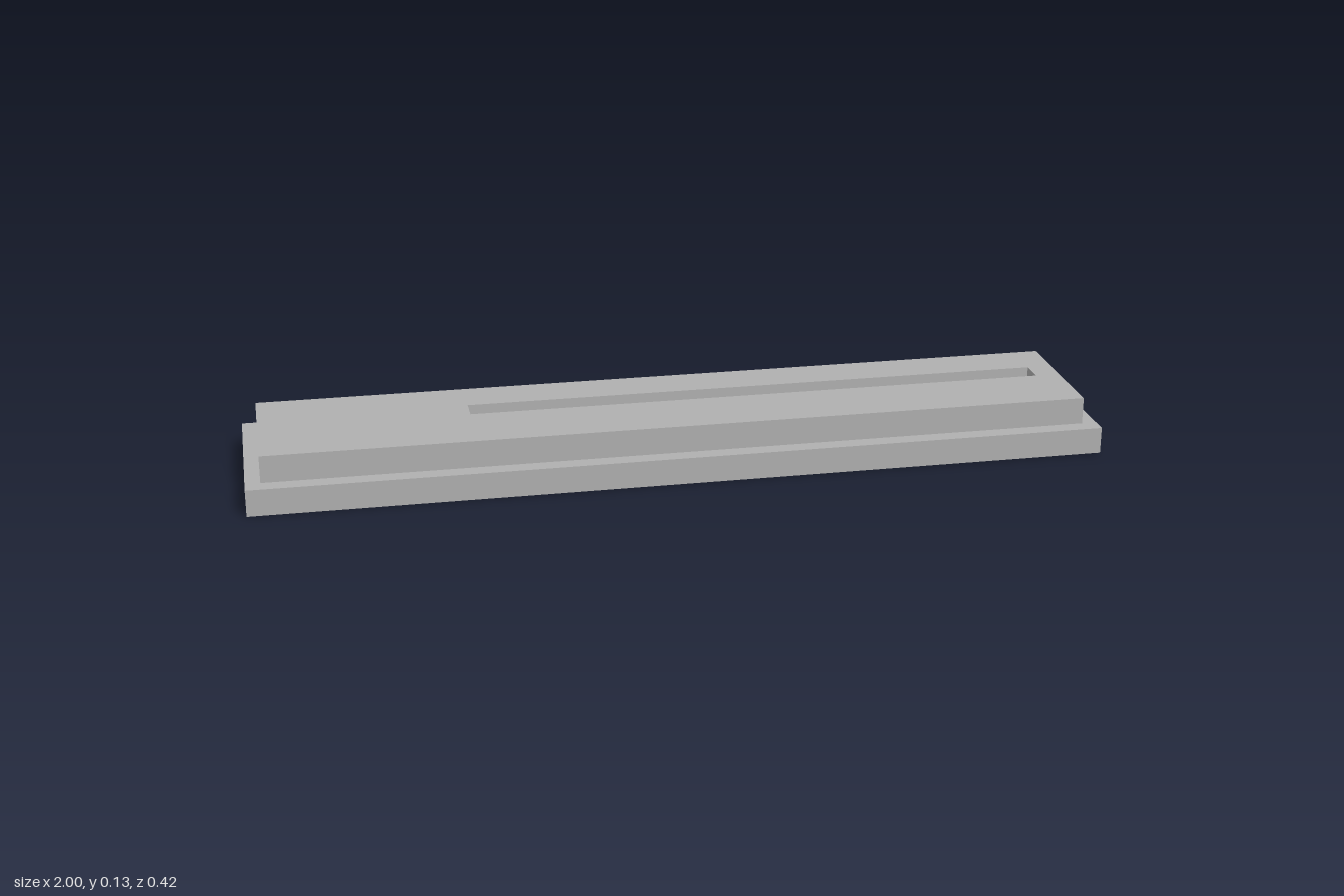
import * as THREE from 'three';

const BASE_H = 0.063;
const TOP_H = 0.064;

// Adds a closed rectangle to a Shape or Path
function rect(path, x0, y0, x1, y1) {
  path.moveTo(x0, y0);
  path.lineTo(x1, y0);
  path.lineTo(x1, y1);
  path.lineTo(x0, y1);
  path.closePath();
  return path;
}

export function createModel() {
  const group = new THREE.Group();
  const grey = new THREE.MeshStandardMaterial({ color: 0xb0b0b0 });
  grey.name = 'grey';

  // Wide lower plate
  const base = new THREE.Mesh(new THREE.BoxGeometry(2, BASE_H, 0.416), grey);
  base.name = 'basePlate';
  base.position.y = BASE_H / 2;
  group.add(base);

  // Narrower upper plate with an off-centre slot (shape y becomes -z)
  const outline = rect(new THREE.Shape(), -0.965, -0.17, 0.965, 0.17);
  outline.holes.push(rect(new THREE.Path(), -0.475, 0, 0.905, 0.06));
  const geometry = new THREE.ExtrudeGeometry(outline, { depth: TOP_H, bevelEnabled: false });
  geometry.rotateX(-Math.PI / 2);
  const top = new THREE.Mesh(geometry, grey);
  top.name = 'slottedTopPlate';
  top.position.y = BASE_H;
  group.add(top);

  return group;
}
